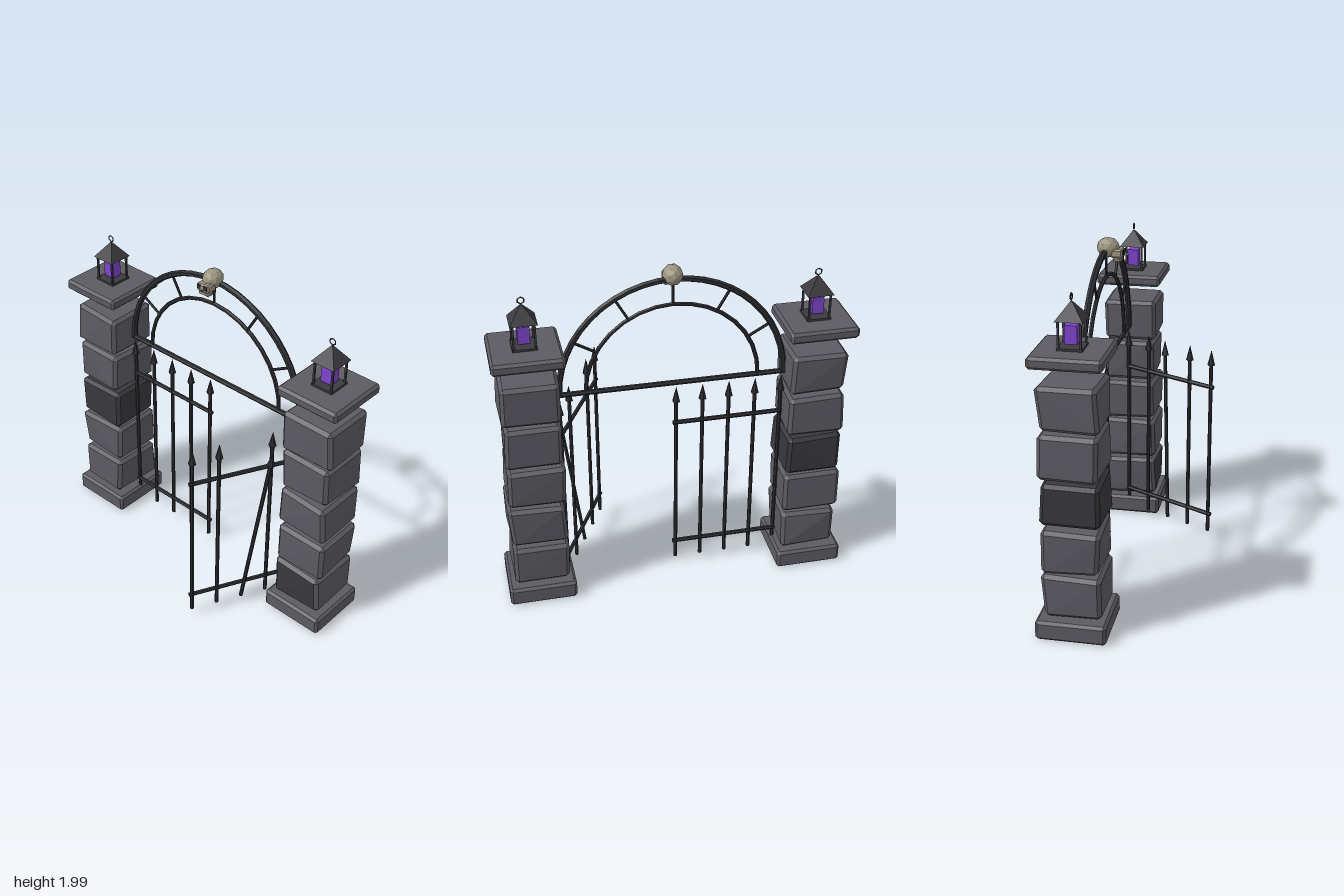
import * as THREE from 'three';
import { ConvexGeometry } from 'three/addons/geometries/ConvexGeometry.js';

const mat = (name, color) => {
  const m = new THREE.MeshStandardMaterial({ color, flatShading: true });
  m.name = name;
  return m;
};

let seed = 11;
const jitter = (a) => {
  seed = (seed * 16807) % 2147483647;
  return (seed / 2147483647 * 2 - 1) * a;
};

// Chamfered block whose corners may be shifted a little
function blockGeometry(w, h, d, c, rough = 0) {
  const pts = [];
  for (const sx of [-1, 1]) for (const sy of [-1, 1]) for (const sz of [-1, 1]) {
    const x = w / 2 + jitter(rough), y = h / 2 + jitter(rough * 0.5), z = d / 2 + jitter(rough);
    pts.push(
      new THREE.Vector3(sx * x, sy * (y - c), sz * (z - c)),
      new THREE.Vector3(sx * (x - c), sy * y, sz * (z - c)),
      new THREE.Vector3(sx * (x - c), sy * (y - c), sz * z));
  }
  return new ConvexGeometry(pts);
}

export function createModel() {
  const stone = mat('stone', 0x5c5b63);
  const darkStone = mat('dark stone', 0x39383d);
  const iron = mat('iron', 0x2d2e32);
  const roofMetal = mat('lantern metal', 0x3a3a3f);
  const glow = mat('purple glow', 0x7f45cc);
  const bone = mat('bone', 0x9c957f);

  const model = new THREE.Group();
  const Z = -0.193, PILLAR_X = 0.805, ARCH_Y = 1.275;

  const add = (parent, name, geometry, material, x = 0, y = 0, z = 0) => {
    const mesh = new THREE.Mesh(geometry, material);
    mesh.name = name;
    mesh.position.set(x, y, z);
    parent.add(mesh);
    return mesh;
  };
  const group = (parent, name, x = 0, y = 0, z = 0) => {
    const g = new THREE.Group();
    g.name = name;
    g.position.set(x, y, z);
    parent.add(g);
    return g;
  };
  // Straight rod between two points
  const rod = (parent, name, a, b, r, sides = 6) => {
    const p = new THREE.Vector3(...a), q = new THREE.Vector3(...b);
    const mesh = add(parent, name, new THREE.CylinderGeometry(r, r, p.distanceTo(q), sides), iron);
    mesh.position.copy(p).lerp(q, 0.5);
    mesh.quaternion.setFromUnitVectors(new THREE.Vector3(0, 1, 0), q.sub(p).normalize());
    return mesh;
  };

  // Lantern: base, four posts, glowing core, pointed roof and ring
  function addLantern(parent) {
    const g = group(parent, 'lantern', 0, 1.605, 0);
    add(g, 'lanternBase', new THREE.BoxGeometry(0.135, 0.012, 0.135), roofMetal, 0, 0.006, 0);
    for (const x of [-1, 1]) for (const z of [-1, 1])
      add(g, 'lanternPost', new THREE.BoxGeometry(0.011, 0.145, 0.011), roofMetal, x * 0.058, 0.08, z * 0.058);
    add(g, 'lanternLight', new THREE.BoxGeometry(0.066, 0.098, 0.066), glow, 0, 0.075, 0);
    const roof = add(g, 'lanternRoof',
      new THREE.CylinderGeometry(0.008, 0.105, 0.09, 4), roofMetal, 0, 0.195, 0);
    roof.rotation.y = Math.PI / 4;
    add(g, 'lanternRing', new THREE.TorusGeometry(0.019, 0.004, 4, 6), roofMetal, 0, 0.265, 0).rotation.z = Math.PI / 6;
  }

  // Pillars of five rough stones
  for (const side of [-1, 1]) {
    const p = group(model, side < 0 ? 'rightPillar' : 'leftPillar', side * PILLAR_X, 0, Z);
    add(p, 'pillarBase', blockGeometry(0.39, 0.112, 0.39, 0.015), stone, 0, 0.056, 0);
    for (let i = 0; i < 5; i++) {
      const geo = blockGeometry(0.318, 0.244, 0.318, 0.02, 0.011);
      let material = stone;
      if (side < 0 && i === 2) material = darkStone;
      if (side > 0 && i === 0) {
        // Only the front of this stone is dark
        const n = geo.attributes.normal;
        for (let k = 0; k < n.count; k += 3) geo.addGroup(k, 3, n.getZ(k) > 0.9 ? 1 : 0);
        material = [stone, darkStone];
      }
      add(p, 'pillarStone', geo, material, 0, 0.25 + i * 0.2655, 0);
    }
    add(p, 'pillarCap', blockGeometry(0.39, 0.066, 0.39, 0.015), stone, 0, 1.572, 0);
    addLantern(p);
  }

  // Arch: two half rings, spokes and a crossbar
  const arch = group(model, 'arch', 0, ARCH_Y, Z);
  const R = 0.634, r = 0.487;
  add(arch, 'outerArch', new THREE.TorusGeometry(R, 0.018, 6, 24, Math.PI), iron);
  add(arch, 'innerArch', new THREE.TorusGeometry(r, 0.012, 6, 16, Math.PI), iron);
  for (let i = 1; i < 6; i++) {
    const c = Math.cos(i * Math.PI / 6), s = Math.sin(i * Math.PI / 6);
    rod(arch, 'archSpoke', [r * c, r * s, 0], [R * c, R * s, 0], 0.008);
  }
  rod(arch, 'crossbar', [-0.645, 0, 0], [0.645, 0, 0], 0.015);

  // Spear-topped bar from its foot to its tip
  function addSpear(parent, foot, tip) {
    const a = new THREE.Vector3(...foot), b = new THREE.Vector3(...tip);
    const length = a.distanceTo(b);
    const g = group(parent, 'spearBar', ...foot);
    g.quaternion.setFromUnitVectors(new THREE.Vector3(0, 1, 0), b.sub(a).normalize());
    rod(g, 'bar', [0, 0, 0], [0, length - 0.08, 0], 0.0115);
    add(g, 'spearTip', new THREE.ConeGeometry(0.023, 0.095, 6), iron, 0, length - 0.0475, 0);
  }

  // Gate leaf from hinge to free end, with one bar optionally fallen askew
  function addLeaf(name, hinge, end, fallen = -1) {
    const g = group(model, name);
    const at = (t, y) => [
      THREE.MathUtils.lerp(hinge[0], end[0], t), y,
      THREE.MathUtils.lerp(hinge[1], end[1], t)];
    for (let i = 0; i < 5; i++) {
      if (i === fallen) addSpear(g, at(i / 4, 0.05), [0.642, 1.195, 0.035]);
      else addSpear(g, at(i / 4, 0.05), at(i / 4, 1.247));
    }
    for (const y of [0.167, 1.012]) rod(g, 'gateRail', at(-0.02, y), at(1.03, y), 0.013);
  }
  addLeaf('closedGate', [-0.628, Z], [-0.02, Z]);
  addLeaf('openGate', [0.635, Z], [0.35, 0.365], 2);

  // Skull on top of the arch
  const skull = group(model, 'skull', 0, 1.928, -0.18);
  add(skull, 'cranium', new THREE.IcosahedronGeometry(0.062, 1), bone).scale.set(0.9, 0.93, 1.05);
  add(skull, 'face', blockGeometry(0.086, 0.05, 0.07, 0.01), bone, 0, -0.027, 0.053);
  add(skull, 'jaw', blockGeometry(0.074, 0.024, 0.045, 0.006), bone, 0, -0.063, 0.055);
  for (const x of [-0.022, 0.022])
    add(skull, 'eyeSocket', new THREE.BoxGeometry(0.026, 0.026, 0.006), iron, x, -0.021, 0.087);
  add(skull, 'noseHole', new THREE.BoxGeometry(0.01, 0.012, 0.006), iron, 0, -0.041, 0.087);

  return model;
}
